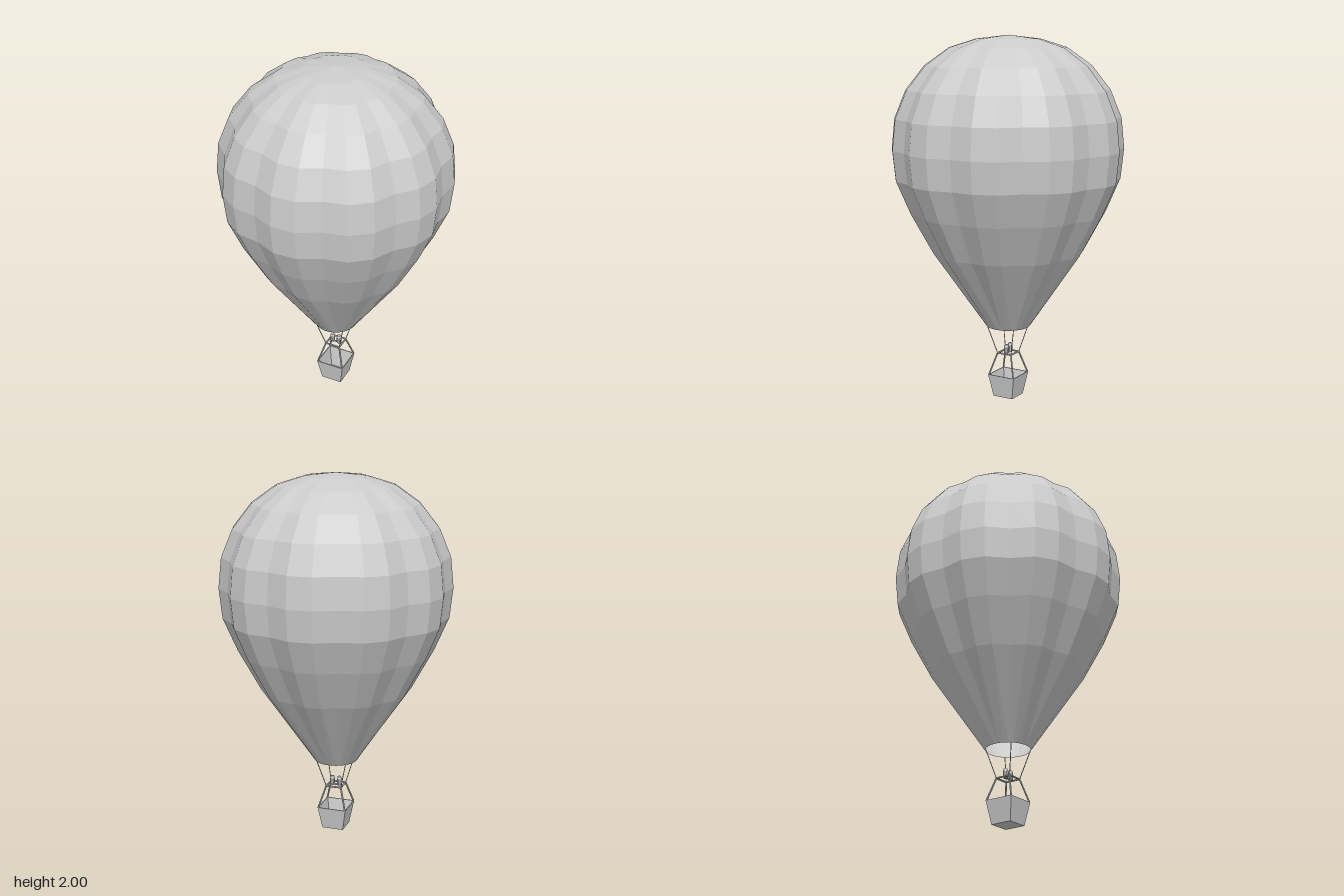
import * as THREE from 'three';

const material = new THREE.MeshStandardMaterial({ color: 0xcccccc, flatShading: true, side: THREE.DoubleSide });
const rad = THREE.MathUtils.degToRad;
const v = (x, y, z) => new THREE.Vector3(x, y, z);

function addMesh(parent, name, geometry) {
  const flat = geometry.index ? geometry.toNonIndexed() : geometry;
  flat.computeVertexNormals();
  const mesh = new THREE.Mesh(flat, material);
  mesh.name = name;
  parent.add(mesh);
  return mesh;
}

// Straight round bar between two points
function addBar(parent, name, a, b, radius) {
  const dir = b.clone().sub(a);
  const bar = addMesh(parent, name, new THREE.CylinderGeometry(radius, radius, dir.length(), 6));
  bar.position.copy(a).add(b).multiplyScalar(0.5);
  bar.quaternion.setFromUnitVectors(v(0, 1, 0), dir.normalize());
}

// Lathe profile from [radius, height] pairs
const profile = (pairs) => pairs.map(([r, y]) => new THREE.Vector2(r, y));

// Balloon skin: ten gores of three strips, with every third seam drawn inwards
function envelopeGeometry() {
  const points = profile([
    [0.12, 0.405], [0.415, 0.83], [0.535, 1.05], [0.612, 1.23], [0.629, 1.395], [0.612, 1.56],
    [0.55, 1.71], [0.448, 1.84], [0.315, 1.935], [0.172, 1.98], [0, 2],
  ]);
  const geometry = new THREE.LatheGeometry(points, 30, rad(19.9));
  const pos = geometry.attributes.position;
  for (let i = 0; i < pos.count; i++) {
    const seam = Math.floor(i / points.length) % 3 === 0;
    const ring = i % points.length;
    if (seam && ring > 0) pos.setXYZ(i, pos.getX(i) * 0.95, pos.getY(i), pos.getZ(i) * 0.95);
  }
  return geometry;
}

export function createModel() {
  const model = new THREE.Group();
  model.name = 'hotAirBalloon';
  addMesh(model, 'envelope', envelopeGeometry());

  // Open, tapered square basket
  const k = Math.SQRT2;
  addMesh(model, 'basket', new THREE.LatheGeometry(profile([
    [0, 0], [0.06 * k, 0], [0.082 * k, 0.127], [0.077 * k, 0.127], [0.056 * k, 0.006], [0, 0.006],
  ]), 4, Math.PI / 4));

  // Uprights, burner frame and ropes, one set per corner
  const rigging = new THREE.Group();
  rigging.name = 'rigging';
  model.add(rigging);
  const corners = [[1, 1], [-1, 1], [-1, -1], [1, -1]];
  corners.forEach(([x, z], i) => {
    const [nx, nz] = corners[(i + 1) % 4];
    const f = 0.043;
    const frameCorner = v(x * f, 0.248, z * f);
    addBar(rigging, 'upright', v(x * 0.079, 0.125, z * 0.079), frameCorner, 0.005);
    addBar(rigging, 'frameBar', frameCorner, v(nx * f, 0.248, nz * f), 0.005);
    addBar(rigging, 'rope', frameCorner, v(x * 0.084, 0.407, z * 0.084), 0.0025);
  });
  addBar(rigging, 'burnerCrossbar', v(-0.043, 0.248, 0), v(0.043, 0.248, 0), 0.005);

  // Twin burners
  for (const side of [-1, 1]) {
    const burner = addMesh(model, 'burner', new THREE.LatheGeometry(profile([
      [0, 0.245], [0.011, 0.245], [0.014, 0.255], [0.014, 0.283], [0.01, 0.297], [0, 0.297],
    ]), 10));
    burner.position.x = side * 0.02;
  }
  return model;
}
